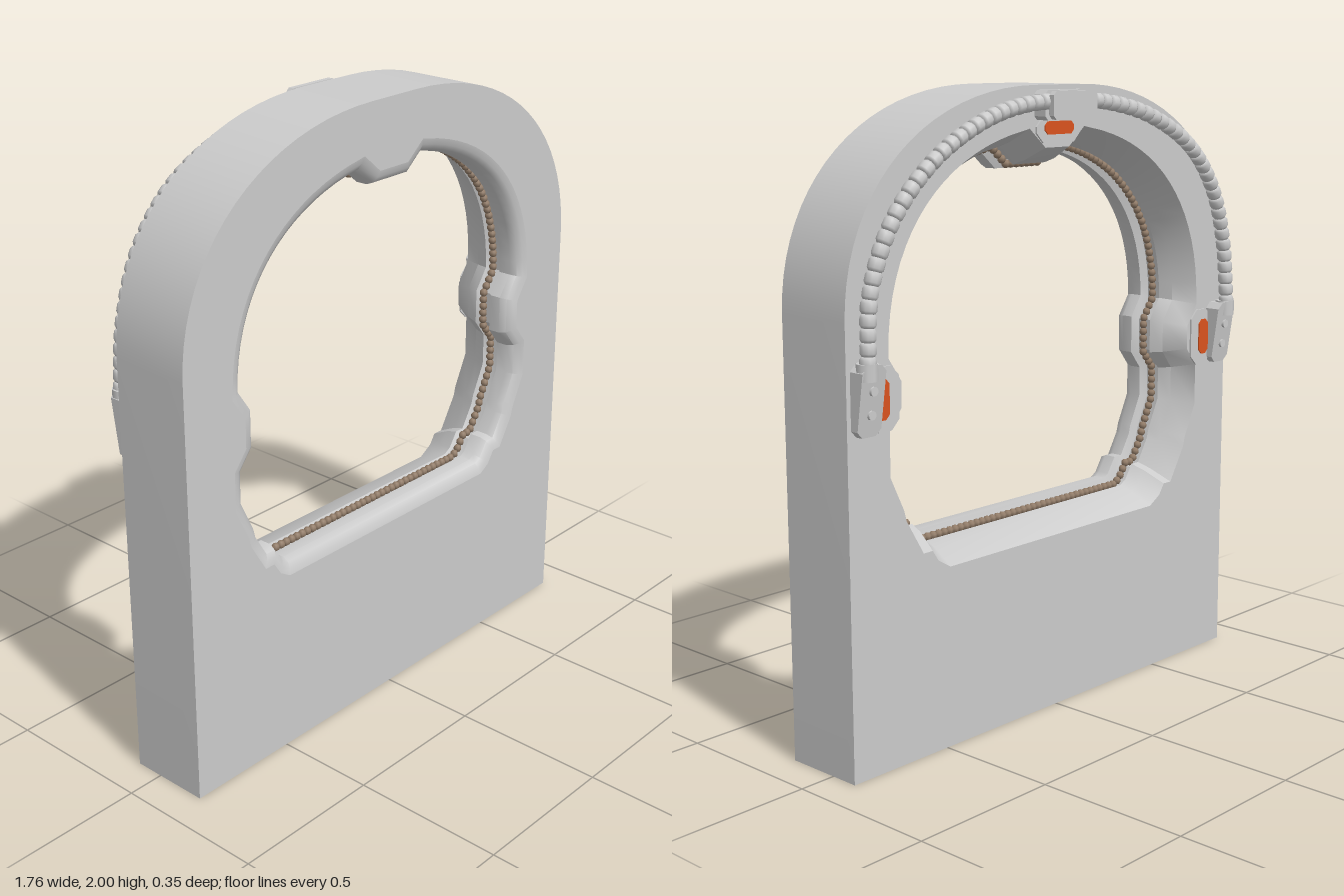
import * as THREE from 'three';
import { mergeGeometries, toCreasedNormals } from 'three/addons/utils/BufferGeometryUtils.js';

const FRONT = 0.175, BACK = -0.095;
const grey = new THREE.MeshStandardMaterial({ color: 0xcccccc, side: THREE.DoubleSide });
const orange = new THREE.MeshStandardMaterial({ color: 0xd9531e });
const brown = new THREE.MeshStandardMaterial({ color: 0x927c68 });
const V2 = (x, y) => new THREE.Vector2(x, y);

function add(parent, name, geometry, material = grey) {
  const mesh = new THREE.Mesh(geometry, material);
  mesh.name = name;
  parent.add(mesh);
  return mesh;
}

function bezier(a, b, c, d, n) {
  return new THREE.CubicBezierCurve(V2(...a), V2(...b), V2(...c), V2(...d)).getPoints(n);
}

// Right half plus its mirror image, in walking order
const mirrored = half => [...half, ...half.map(p => V2(-p.x, p.y)).reverse()];

// Arched outer outline, counterclockwise from the lower corner
function outerOutline() {
  return mirrored([V2(0.88, 0), ...bezier([0.88, 1.36], [0.88, 1.74], [0.56, 2], [0.1, 2], 20)]);
}

// Window outline with a pad at the top and at each side, clockwise
function windowOutline() {
  const lower = [[0.6, 1.195], [0.6, 1.07], [0.648, 1.01], [0.648, 0.91], [0.6, 0.81],
    [0.592, 0.78], [0.55, 0.71], [0.515, 0.71], [0.48, 0.657], [0.46, 0.645]];
  return mirrored([V2(0.08, 1.74),
    ...bezier([0.145, 1.795], [0.45, 1.745], [0.645, 1.56], [0.648, 1.265], 18),
    ...lower.map(p => V2(...p))]);
}

// Grow a closed clockwise outline by d
function offset(points, d) {
  const n = points.length;
  return points.map((p, i) => {
    const a = p.clone().sub(points[(i + n - 1) % n]).normalize();
    const b = points[(i + 1) % n].clone().sub(p).normalize();
    const t = a.clone().add(b).normalize();
    const miter = Math.min(1.3, 1 / Math.max(0.5, t.dot(a)));
    return V2(p.x - t.y * d * miter, p.y + t.x * d * miter);
  });
}

// Skin through rings ordered front to back; each ring is { points, z }
function loft(rings, closed) {
  const pos = [];
  const n = rings[0].points.length;
  const put = (i, j) => {
    const p = rings[i].points[j % n];
    pos.push(p.x, p.y, rings[i].z);
  };
  for (let i = 0; i < rings.length - 1; i++) {
    for (let j = 0; j < (closed ? n : n - 1); j++) {
      put(i, j); put(i + 1, j); put(i, j + 1);
      put(i, j + 1); put(i + 1, j); put(i + 1, j + 1);
    }
  }
  const g = new THREE.BufferGeometry();
  g.setAttribute('position', new THREE.Float32BufferAttribute(pos, 3));
  return toCreasedNormals(g, 0.6);
}

function faceWithHole(outer, hole) {
  const shape = new THREE.Shape(outer);
  shape.holes.push(new THREE.Path(hole));
  return new THREE.ShapeGeometry(shape);
}

// Chamfered plate standing on the back face, growing towards -z
function plate(w, h, depth, c) {
  const half = [V2(w / 2 - c, h / 2), V2(w / 2, h / 2 - c), V2(w / 2, c - h / 2), V2(w / 2 - c, -h / 2)];
  return new THREE.ExtrudeGeometry(new THREE.Shape(mirrored(half)), { depth, bevelEnabled: false })
    .rotateY(Math.PI);
}

// Tapered cable anchor with two rivets, plus its orange inlay, for one side
function sideClip(s) {
  const g = new THREE.Group();
  g.name = s > 0 ? 'leftCableAnchor' : 'rightCableAnchor';
  const body = plate(0.09, 0.21, 0.05, 0.02);
  const p = body.attributes.position;
  for (let i = 0; i < p.count; i++) {
    if (p.getZ(i) < -0.01) p.setZ(i, -0.04 - p.getY(i) * 0.15);
  }
  body.computeVertexNormals();
  add(g, 'anchorPlate', body).position.set(s * 0.82, 1.14, BACK);
  for (const y of [1.1, 1.17]) {
    const rivet = add(g, 'rivet', new THREE.CylinderGeometry(0.014, 0.014, 0.016, 10));
    rivet.rotation.x = Math.PI / 2;
    rivet.position.set(s * 0.82, y, BACK - 0.04 - (y - 1.14) * 0.15);
  }
  add(g, 'socket', new THREE.CylinderGeometry(0.032, 0.032, 0.05, 10)).position.set(s * 0.833, 1.225, BACK - 0.036);
  add(g, 'inlayFrame', plate(0.11, 0.19, 0.006, 0.03)).position.set(s * 0.74, 1.13, BACK);
  add(g, 'inlay', plate(0.05, 0.12, 0.01, 0.015), orange).position.set(s * 0.75, 1.13, BACK);
  return g;
}

// Two-layer cable clamp at the crown
function topClip() {
  const g = new THREE.Group();
  g.name = 'crownClamp';
  add(g, 'clampBase', plate(0.21, 0.09, 0.045, 0.012)).position.set(0, 1.94, BACK);
  add(g, 'clampCore', plate(0.18, 0.07, 0.06, 0.01)).position.set(0, 1.94, BACK);
  add(g, 'clampCover', plate(0.2, 0.085, 0.018, 0.012)).position.set(0, 1.94, BACK - 0.057);
  add(g, 'inlayFrame', plate(0.2, 0.08, 0.006, 0.03)).position.set(0, 1.865, BACK);
  add(g, 'inlay', plate(0.13, 0.04, 0.01, 0.012), orange).position.set(0, 1.87, BACK);
  return g;
}

// Segmented cable arching over the back
function cable() {
  const half = [[0, 1.952, 0.04], [0.2, 1.942, 0.037], [0.4, 1.893, 0.05], [0.6, 1.787, 0.055],
    [0.74, 1.635, 0.046], [0.815, 1.45, 0.037], [0.835, 1.23, 0.042]];
  const pts = half.map(([x, y, d]) => new THREE.Vector3(x, y, BACK - d));
  const all = [...pts.slice(1).reverse().map(p => p.clone().setX(-p.x)), ...pts];
  const curve = new THREE.CatmullRomCurve3(all);
  const count = 64, len = curve.getLength() / count;
  const profile = [[0.001, -0.5], [0.019, -0.5], [0.025, -0.27], [0.025, 0.27], [0.019, 0.5], [0.001, 0.5]];
  const link = new THREE.LatheGeometry(profile.map(([r, t]) => V2(r, t * len)), 10);
  const up = new THREE.Vector3(0, 1, 0);
  const links = [];
  for (let i = 0; i < count; i++) {
    const u = (i + 0.5) / count;
    const q = new THREE.Quaternion().setFromUnitVectors(up, curve.getTangentAt(u));
    const at = curve.getPointAt(u);
    links.push(link.clone().applyQuaternion(q).translate(at.x, at.y, at.z));
  }
  return mergeGeometries(links);
}

// String of small beads lying in the window groove
function beads(outline) {
  const path = new THREE.Shape(offset(outline, 0.016));
  path.closePath();
  const count = Math.round(path.getLength() / 0.024);
  const bead = new THREE.SphereGeometry(0.014, 7, 5);
  return mergeGeometries(path.getSpacedPoints(count).slice(0, count)
    .map(p => bead.clone().translate(p.x, p.y, 0.055)));
}

export function createModel() {
  const model = new THREE.Group();
  model.name = 'archedWindowFrame';
  const outer = outerOutline(), hole = windowOutline();

  // Shell, open at the bottom
  add(model, 'outerWall', loft([{ points: outer, z: FRONT }, { points: outer, z: BACK }], false));
  // Window lining: rounded front lip, groove, flare to the back
  const profile = [[0.045, FRONT], [0.026, 0.17], [0.009, 0.158], [0, 0.135], [0, 0.095], [0.03, 0.085],
    [0.03, 0.035], [0.015, 0.025], [0.03, -0.02], [0.07, BACK]];
  const rings = profile.map(([d, z]) => ({ points: offset(hole, d), z }));
  add(model, 'windowLining', loft(rings, true));
  add(model, 'frontFace', faceWithHole(outer, rings[0].points)).position.z = FRONT;
  const back = add(model, 'backFace', faceWithHole(outer, rings[rings.length - 1].points));
  back.rotation.y = Math.PI;
  back.position.z = BACK;

  add(model, 'grooveBeads', beads(hole), brown);
  add(model, 'cable', cable());
  model.add(sideClip(1), sideClip(-1), topClip());
  return model;
}
